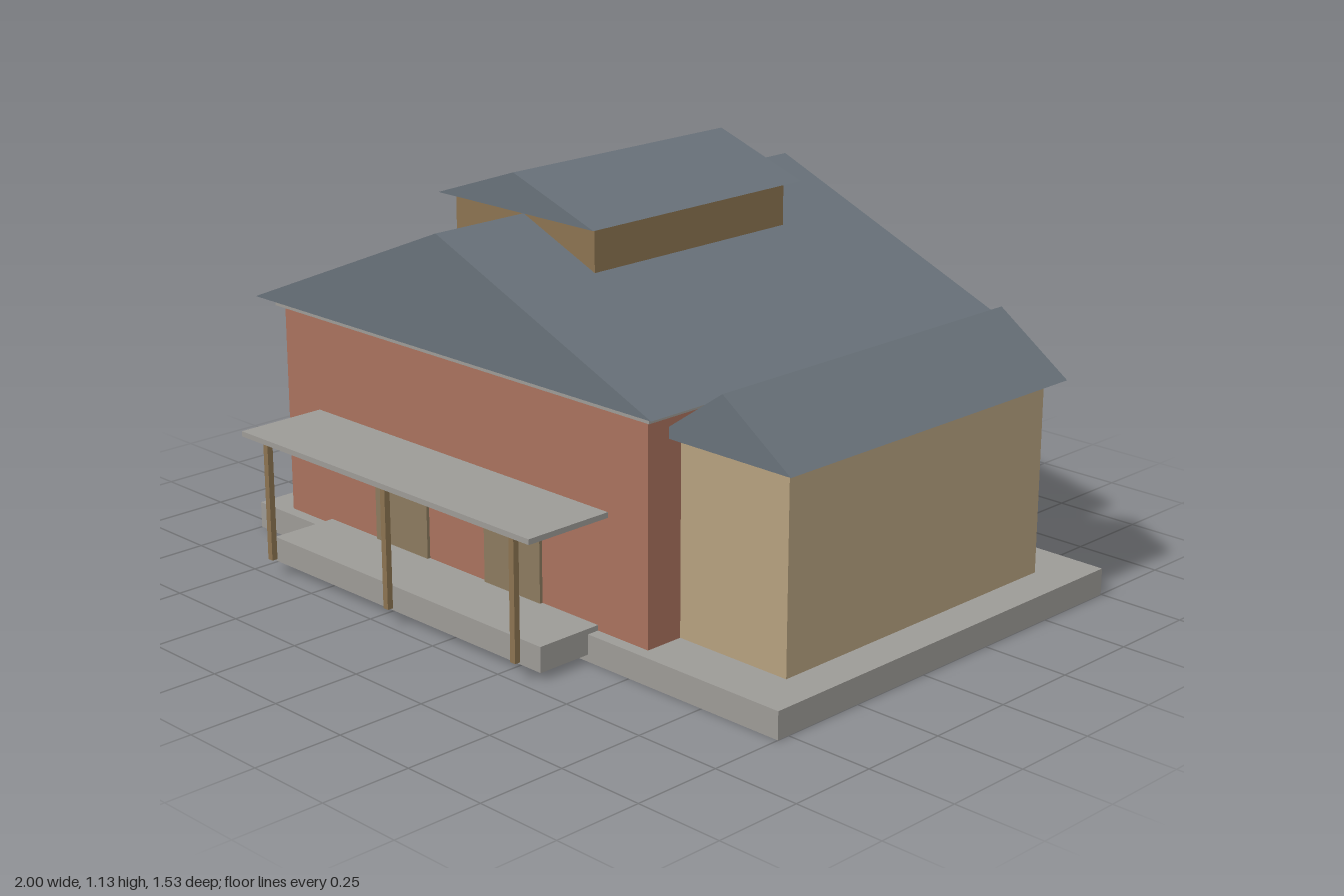
import * as THREE from 'three';

const mat = (name, color) => {
  const m = new THREE.MeshStandardMaterial({ color });
  m.name = name;
  return m;
};

export function createModel() {
  const house = new THREE.Group();
  house.name = 'house';

  const brick = mat('brick red', 0xa8715d);
  const plaster = mat('tan plaster', 0xb5a07e);
  const concrete = mat('concrete grey', 0x9c9a96);
  const slate = mat('slate roof', 0x687179);
  const timber = mat('brown timber', 0x8b7350);
  const doorPaint = mat('door brown', 0x8b7a5e);

  const add = (name, geometry, material) => {
    const mesh = new THREE.Mesh(geometry, material);
    mesh.name = name;
    house.add(mesh);
    return mesh;
  };

  // Box given by its limits on each axis
  const box = (name, material, [x0, x1], [y0, y1], [z0, z1]) =>
    add(name, new THREE.BoxGeometry(x1 - x0, y1 - y0, z1 - z0), material)
      .position.set((x0 + x1) / 2, (y0 + y1) / 2, (z0 + z1) / 2);

  // Solid gable roof with its ridge along z
  const gable = (name, x, halfWidth, [y0, y1], [z0, z1]) => {
    const shape = new THREE.Shape([
      new THREE.Vector2(x - halfWidth, y0),
      new THREE.Vector2(x + halfWidth, y0),
      new THREE.Vector2(x, y1),
    ]);
    add(name, new THREE.ExtrudeGeometry(shape, { depth: z1 - z0, bevelEnabled: false }), slate)
      .position.z = z0;
  };

  const midX = -0.18;

  // Foundation and main block
  box('foundation', concrete, [-1, 1], [0, 0.075], [-0.748, 0.537]);
  box('mainWalls', brick, [-0.893, 0.532], [0.075, 0.675], [-0.712, 0.502]);
  box('cornice', concrete, [-0.914, 0.553], [0.675, 0.7], [-0.731, 0.52]);
  gable('mainRoof', midX, 0.775, [0.7, 1.02], [-0.766, 0.555]);

  // Raised ridge vent
  box('ventWalls', timber, [midX - 0.268, midX + 0.268], [0.85, 1.032], [-0.463, 0.252]);
  gable('ventRoof', midX, 0.3, [1.032, 1.135], [-0.498, 0.287]);

  // Side wing
  box('wingWalls', plaster, [0.525, 0.89], [0.075, 0.612], [-0.598, 0.388]);
  gable('wingRoof', 0.71, 0.222, [0.612, 0.767], [-0.641, 0.431]);

  // Porch slab, canopy and posts
  box('porchSlab', concrete, [-0.717, 0.354], [0.02, 0.09], [0.49, 0.7]);
  box('porchCanopy', concrete, [-0.755, 0.391], [0.388, 0.403], [0.495, 0.768]);
  for (const x of [midX - 0.491, midX, midX + 0.491]) {
    box('porchPost', timber, [x - 0.009, x + 0.009], [0.05, 0.388], [0.737, 0.754]);
  }

  // Doors with lintels
  for (const x of [midX - 0.223, midX + 0.221]) {
    box('door', doorPaint, [x - 0.107, x + 0.107], [0.075, 0.345], [0.502, 0.511]);
    box('doorLintel', concrete, [x - 0.12, x + 0.12], [0.343, 0.36], [0.5, 0.516]);
  }

  return house;
}
